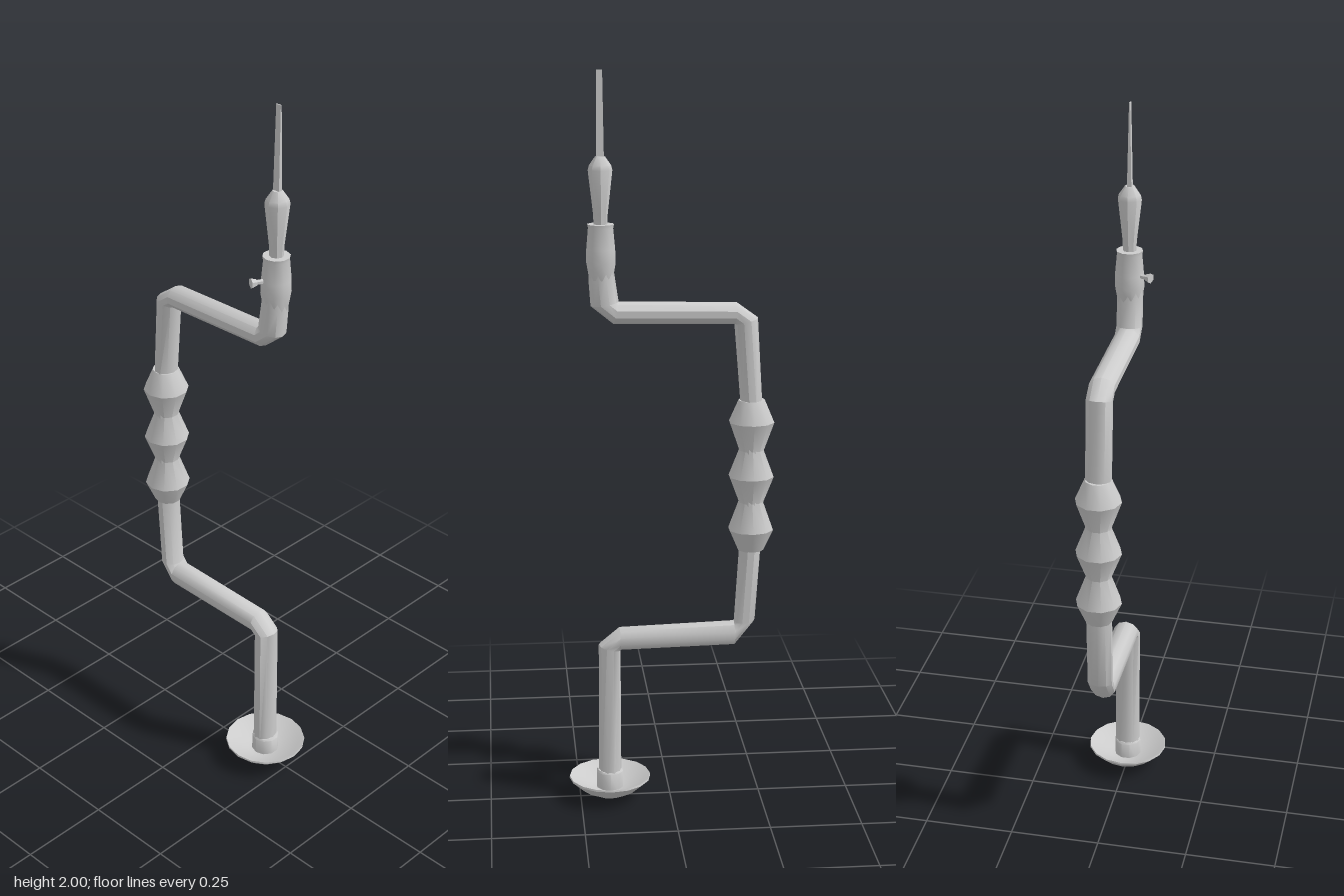
import * as THREE from 'three';
import { toCreasedNormals } from 'three/addons/utils/BufferGeometryUtils.js';

const material = new THREE.MeshStandardMaterial({ color: 0xcccccc, side: THREE.DoubleSide });

function addMesh(parent, name, geometry, crease = 0.7) {
  const mesh = new THREE.Mesh(toCreasedNormals(geometry, crease), material);
  mesh.name = name;
  parent.add(mesh);
  return mesh;
}

// Turned part: profile of [radius, height] from bottom to top.
function turned(profile, sides) {
  return new THREE.LatheGeometry(profile.map(([r, y]) => new THREE.Vector2(r, y)), sides);
}

// Round bar through mitred rings, each given by its left and right edge [ax, ay, bx, by].
function bentBar(rings, depth, sides) {
  const positions = [], index = [];
  rings.forEach(([ax, ay, bx, by], i) => {
    for (let j = 0; j < sides; j++) {
      const t = (j / sides) * Math.PI * 2, c = Math.cos(t) / 2;
      positions.push((ax + bx) / 2 + (bx - ax) * c, (ay + by) / 2 + (by - ay) * c, depth * Math.sin(t));
      if (i === rings.length - 1) continue;
      const p = i * sides + j, q = i * sides + (j + 1) % sides;
      index.push(p, p + sides, q, q, p + sides, q + sides);
    }
  });
  const geometry = new THREE.BufferGeometry();
  geometry.setAttribute('position', new THREE.Float32BufferAttribute(positions, 3));
  geometry.setIndex(index);
  return geometry;
}

export function createModel() {
  const brace = new THREE.Group();
  brace.name = 'handBrace';

  // Dished pad at the foot, with the collar that holds the bar
  const pad = addMesh(brace, 'pad', turned([
    [0, 0.0], [0.04, 0.006], [0.08, 0.027], [0.113, 0.057], [0.112, 0.062], [0.095, 0.053], [0.05, 0.03], [0, 0.025],
  ], 16));
  pad.position.x = 0.168;
  const collar = addMesh(brace, 'padCollar', turned([
    [0.038, 0.02], [0.038, 0.075], [0.034, 0.08], [0, 0.08],
  ], 10));
  collar.position.x = 0.168;

  // Cranked bar with chamfered outer corners
  addMesh(brace, 'crankBar', bentBar([
    [0.136, 0.04, 0.198, 0.04],
    [0.136, 0.431, 0.196, 0.447],
    [0.136, 0.431, 0.138, 0.495],
    [-0.177, 0.437, -0.177, 0.505],
    [-0.235, 0.51, -0.177, 0.505],
    [-0.249, 0.72, -0.19, 0.72],
    [-0.249, 1.12, -0.19, 1.12],
    [-0.235, 1.352, -0.172, 1.335],
    [-0.177, 1.394, -0.172, 1.335],
    [0.135, 1.4, 0.15, 1.341],
    [0.135, 1.4, 0.209, 1.389],
    [0.146, 1.475, 0.214, 1.46],
    [0.146, 1.51, 0.214, 1.51],
  ], 0.035, 10));

  // Grip with three swellings
  const grip = addMesh(brace, 'grip', turned([
    [0, 0.71], [0.036, 0.71], [0.062, 0.768], [0.034, 0.845], [0.062, 0.917],
    [0.034, 0.99], [0.062, 1.068], [0.036, 1.128], [0, 1.128],
  ], 10));
  grip.position.x = -0.221;

  // Chuck, jaws and bit share the upper axis
  const head = new THREE.Group();
  head.name = 'head';
  head.position.set(0.181, 0, -0.002);
  brace.add(head);
  addMesh(head, 'chuck', turned([
    [0.032, 1.46], [0.04, 1.505], [0.039, 1.54], [0.034, 1.595], [0.036, 1.605], [0, 1.605],
  ], 10));
  addMesh(head, 'jaws', turned([
    [0.018, 1.59], [0.019, 1.63], [0.032, 1.745], [0.029, 1.757], [0.013, 1.78], [0, 1.78],
  ], 8));

  // Flat bit thinning towards its tip
  const bitGeometry = new THREE.BoxGeometry(0.02, 0.23, 0.012);
  const points = bitGeometry.attributes.position;
  for (let i = 0; i < points.count; i++) {
    if (points.getY(i) > 0) {
      points.setX(i, points.getX(i) * 0.75);
      points.setZ(i, points.getZ(i) * 0.25);
    }
  }
  addMesh(head, 'bit', bitGeometry).position.y = 1.885;

  // Small locking screw on the front of the chuck
  const screw = new THREE.Group();
  screw.name = 'lockScrew';
  screw.position.y = 1.54;
  screw.rotation.y = -0.42;
  head.add(screw);
  const stem = new THREE.CylinderGeometry(0.007, 0.007, 0.035, 6).rotateX(Math.PI / 2);
  addMesh(screw, 'screwStem', stem).position.z = 0.045;
  const knob = new THREE.CylinderGeometry(0.014, 0.009, 0.014, 6).rotateX(Math.PI / 2);
  addMesh(screw, 'screwHead', knob).position.z = 0.061;

  return brace;
}
